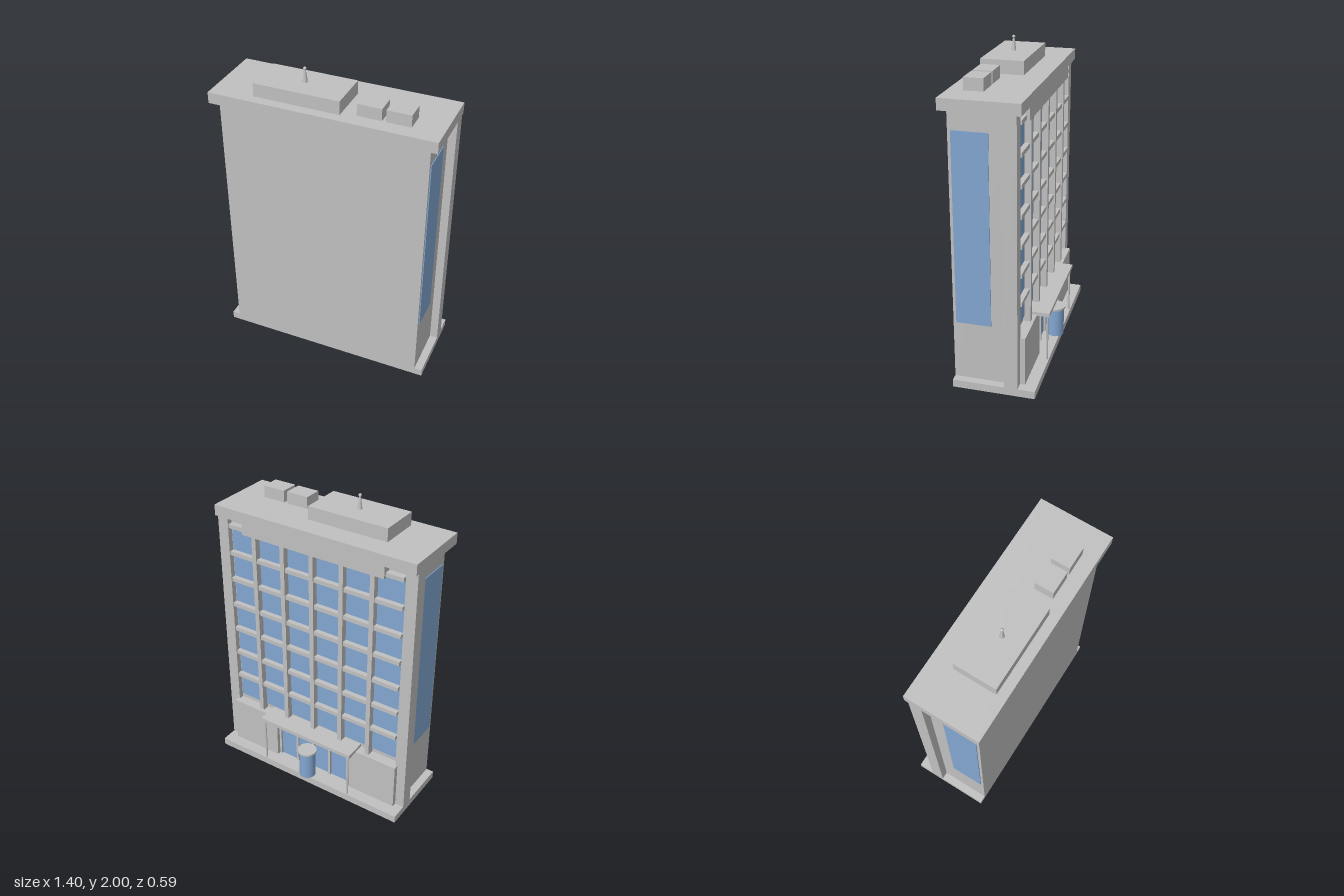
import * as THREE from 'three';

const concrete = new THREE.MeshStandardMaterial({ color: 0xc0c0c0 });
concrete.name = 'concrete grey';
const glass = new THREE.MeshStandardMaterial({ color: 0x82a6d0 });
glass.name = 'glass blue';

// Box given by its limits on each axis
function block(parent, name, [x0, x1], [y0, y1], [z0, z1], material = concrete) {
  const mesh = new THREE.Mesh(new THREE.BoxGeometry(x1 - x0, y1 - y0, z1 - z0), material);
  mesh.position.set((x0 + x1) / 2, (y0 + y1) / 2, (z0 + z1) / 2);
  mesh.name = name;
  parent.add(mesh);
  return mesh;
}

function round(parent, name, rTop, rBottom, [y0, y1], x, z, material = concrete, sides = 24) {
  const mesh = new THREE.Mesh(new THREE.CylinderGeometry(rTop, rBottom, y1 - y0, sides), material);
  mesh.position.set(x, (y0 + y1) / 2, z);
  mesh.name = name;
  parent.add(mesh);
  return mesh;
}

// The same x range on either side of the building
const mirror = ([a, b]) => [[a, b], [-b, -a]];

function buildFacade() {
  const facade = new THREE.Group();
  facade.name = 'windowFacade';
  const half = 0.63, bays = 6, rows = 7, bay = (2 * half) / bays, storey = 0.185, bottom = 0.4;

  for (let c = 0; c < bays; c++) {
    const x = -half + (c + 0.5) * bay;
    for (let r = 0; r < rows; r++) {
      const y = bottom + r * storey;
      // Recessed pane with a projecting ledge above it
      block(facade, 'windowPane', [x - 0.09, x + 0.09], [y + 0.003, y + 0.16], [-0.128, -0.12], glass);
      block(facade, 'windowLedge', [x - 0.09, x + 0.09], [y + 0.168, y + 0.195], [-0.16, -0.11]);
    }
    // Vertical fin between bays
    if (c) {
      const fx = -half + c * bay;
      block(facade, 'facadeFin', [fx - 0.015, fx + 0.015], [0.37, 1.75], [-0.168, -0.11]);
    }
  }
  block(facade, 'roofValance', [-0.5, 0.5], [1.67, 1.75], [-0.176, -0.11]);
  return facade;
}

function buildEntrance() {
  const entrance = new THREE.Group();
  entrance.name = 'entrance';
  // Solid ground floor walls beside the glazing
  for (const xr of mirror([0.28, 0.64])) block(entrance, 'podiumWall', xr, [0.05, 0.37], [-0.187, -0.11]);
  // Glazing with its frame
  block(entrance, 'entranceGlass', [-0.28, 0.28], [0.05, 0.365], [-0.148, -0.14], glass);
  for (const x of [-0.272, -0.13, 0, 0.13, 0.272])
    block(entrance, 'entranceMullion', [x - 0.008, x + 0.008], [0.05, 0.365], [-0.162, -0.14]);
  block(entrance, 'entranceHeader', [-0.28, 0.28], [0.34, 0.37], [-0.162, -0.14]);
  // Canopy on two posts
  block(entrance, 'canopy', [-0.35, 0.35], [0.365, 0.39], [-0.266, -0.12]);
  for (const x of [-0.33, 0.33]) round(entrance, 'canopyPost', 0.007, 0.007, [0.05, 0.365], x, -0.249, concrete, 12);
  // Revolving door drum
  round(entrance, 'revolvingDoor', 0.054, 0.054, [0.05, 0.245], 0, -0.23, glass);
  round(entrance, 'revolvingDoorCap', 0.063, 0.063, [0.243, 0.256], 0, -0.23);
  return entrance;
}

function buildRoof() {
  const roof = new THREE.Group();
  roof.name = 'roof';
  block(roof, 'roofSlab', [-0.7, 0.7], [1.75, 1.82], [-0.18, 0.293]);
  block(roof, 'penthouse', [-0.433, 0.105], [1.82, 1.905], [-0.037, 0.231]);
  for (const x of [0.195, 0.368])
    block(roof, 'ventUnit', [x, x + 0.149], [1.82, 1.895], [0.082, 0.2]);
  // Tapered mast with a ball tip
  round(roof, 'mast', 0.005, 0.015, [1.905, 1.986], -0.165, 0.098, concrete, 16);
  const tip = new THREE.Mesh(new THREE.SphereGeometry(0.01, 16, 10), concrete);
  tip.position.set(-0.165, 1.99, 0.098);
  tip.name = 'mastTip';
  roof.add(tip);
  return roof;
}

export function createModel() {
  const building = new THREE.Group();
  building.name = 'officeBuilding';
  block(building, 'basePlinth', [-0.7, 0.7], [0, 0.05], [-0.262, 0.254]);
  block(building, 'mainBody', [-0.65, 0.65], [0.05, 1.75], [-0.12, 0.254]);
  // Corner columns and tall side windows
  for (const xr of mirror([0.625, 0.7])) block(building, 'cornerColumn', xr, [0.05, 1.75], [-0.155, -0.07]);
  for (const xr of mirror([0.648, 0.655])) block(building, 'sideWindow', xr, [0.43, 1.63], [0.018, 0.235], glass);
  building.add(buildFacade(), buildEntrance(), buildRoof());
  return building;
}
